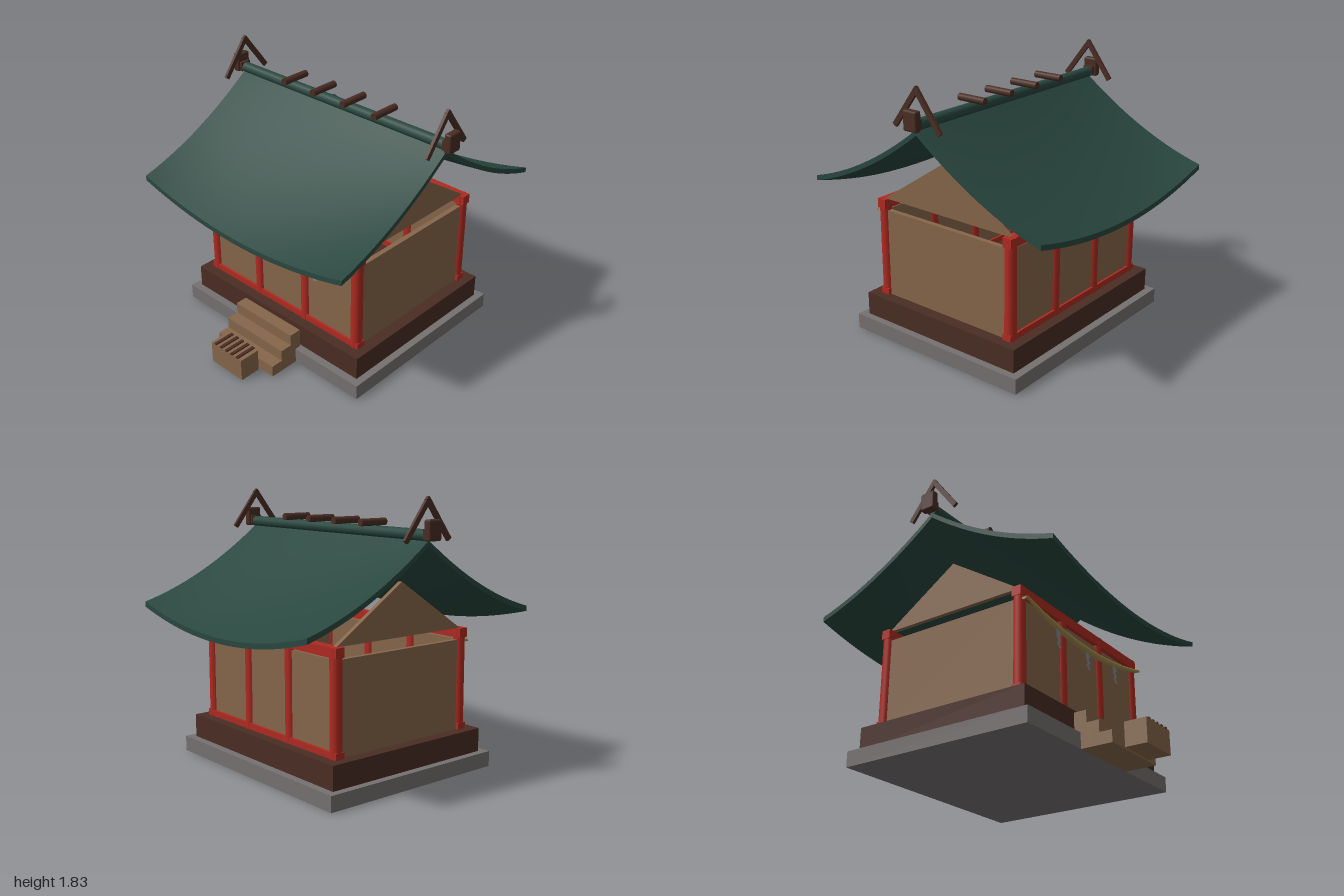
import * as THREE from 'three';
import { RoundedBoxGeometry } from 'three/addons/geometries/RoundedBoxGeometry.js';

const mat = (name, color) => {
  const m = new THREE.MeshStandardMaterial({ color });
  m.name = name;
  return m;
};

export function createModel() {
  const root = new THREE.Group();
  root.name = 'shrine';
  const stone = mat('stone', 0x767171);
  const darkWood = mat('dark wood', 0x4a2d24);
  const timber = mat('timber', 0x86664a);
  const red = mat('red lacquer', 0xaf2a21);
  const green = mat('green roof', 0x29473f);
  const straw = mat('straw rope', 0xa38d4c);
  const paper = mat('paper', 0x868b91);
  paper.side = THREE.DoubleSide;

  const add = (name, geometry, material, x = 0, y = 0, z = 0) => {
    const mesh = new THREE.Mesh(geometry, material);
    mesh.name = name;
    mesh.position.set(x, y, z);
    root.add(mesh);
    return mesh;
  };
  // Box given by its bottom and top height
  const box = (name, m, w, y0, y1, d, x, z) =>
    add(name, new THREE.BoxGeometry(w, y1 - y0, d), m, x, (y0 + y1) / 2, z);

  const MID = -0.07; // z of the ridge and of the building's centre
  const HALF = 0.53; // distance from MID to the front and back walls

  // Plinth and floor
  box('plinth', stone, 1.63, 0, 0.105, 1.38, 0, MID);
  box('floor', darkWood, 1.53, 0.105, 0.265, 1.27, 0, MID);

  // Posts, rails and panels, front and back
  for (const s of [1, -1]) {
    const z = MID + s * HALF;
    for (const x of [-0.665, -0.22, 0.22, 0.665])
      add('post', new THREE.CylinderGeometry(0.039, 0.039, 0.685, 16), red, x, 0.6075, z);
    box('bottomRail', red, 1.41, 0.265, 0.308, 0.066, 0, z);
    box('topRail', red, 1.41, 0.888, 0.952, 0.066, 0, z);
    for (const x of [-0.4425, 0, 0.4425])
      box('wallPanel', timber, 0.38, 0.265, 0.875, 0.035, x, z);
  }

  // Side walls and gables
  const gable = new THREE.Shape();
  gable.moveTo(-HALF, 0.95);
  gable.lineTo(HALF, 0.95);
  gable.lineTo(0, 1.3);
  for (const s of [1, -1]) {
    box('sideWall', timber, 0.035, 0.265, 0.875, 1.02, s * 0.665, MID);
    const g = add('gable', new THREE.ExtrudeGeometry(gable, { depth: 0.03, bevelEnabled: false }),
      timber, s * 0.655 - 0.015, 0, MID);
    g.rotation.y = Math.PI / 2;
  }

  // Curved roof slopes, sagging between upturned corners
  const W = 0.9, RUN = 0.93, THICK = 0.035;
  const slope = new THREE.BoxGeometry(2 * W, THICK, RUN, 24, 1, 16);
  const p = slope.attributes.position;
  for (let i = 0; i < p.count; i++) {
    const t = p.getZ(i) / RUN + 0.5, u = p.getX(i) / W;
    const top = 1.57 - 0.485 * t - 0.23 * t * (1 - t) - 0.125 * t * (1 - u * u);
    p.setY(i, top + p.getY(i) - THICK / 2);
    p.setZ(i, t * RUN);
  }
  slope.computeVertexNormals();
  add('frontRoof', slope, green, 0, 0, MID);
  add('backRoof', slope, green, 0, 0, MID).rotation.y = Math.PI;

  // Ridge pole with short logs across it
  add('ridge', new THREE.CylinderGeometry(0.036, 0.036, 1.79, 16), green, 0, 1.6, MID)
    .rotation.z = Math.PI / 2;
  for (const x of [-0.4, -0.135, 0.13, 0.395])
    add('ridgeLog', new THREE.CylinderGeometry(0.024, 0.024, 0.21, 14), darkWood, x, 1.656, MID - 0.005)
      .rotation.x = Math.PI / 2;

  // Ridge ends: crossed finials and end blocks
  for (const s of [1, -1]) {
    for (const d of [1, -1]) {
      const a = Math.atan2(0.18, 0.24);
      add('finial', new THREE.BoxGeometry(0.02, 0.32, 0.034), darkWood,
        s * 0.887, 1.695, MID + d * 0.087).rotation.x = -d * a;
    }
    add('ridgeEndBlock', new RoundedBoxGeometry(0.05, 0.13, 0.106, 2, 0.012), darkWood,
      s * 0.932, 1.633, MID);
    box('ridgeEndNeck', darkWood, 0.03, 1.575, 1.64, 0.075, s * 0.9, MID);
  }

  // Hanging rope, thick in the middle and thin at the ends
  const ropeY = x => 0.767 + 0.1 * (x / 0.69) ** 2;
  const pts = [];
  for (let i = 0; i <= 12; i++) {
    const x = -0.69 + 1.38 * i / 12;
    pts.push(new THREE.Vector3(x, ropeY(x), 0));
  }
  const rope = new THREE.TubeGeometry(new THREE.CatmullRomCurve3(pts), 40, 0.021, 10);
  const rp = rope.attributes.position;
  for (let i = 0; i < rp.count; i++) {
    const x = rp.getX(i), k = 1 - 0.55 * Math.min(1, (x / 0.69) ** 2);
    rp.setY(i, ropeY(x) + (rp.getY(i) - ropeY(x)) * k);
    rp.setZ(i, rp.getZ(i) * k);
  }
  rope.computeVertexNormals();
  add('rope', rope, straw, 0, 0, 0.527);
  for (const s of [1, -1])
    box('ropePeg', straw, 0.012, 0.858, 0.872, 0.04, s * 0.68, 0.507);

  // Zigzag paper streamers
  const spine = [[-0.012, 0], [0.022, -0.035], [-0.014, -0.045], [0.022, -0.08], [-0.01, -0.09], [0.02, -0.12]];
  const zigzag = new THREE.Shape();
  spine.forEach(([x, y], i) => (i ? zigzag.lineTo(x - 0.012, y) : zigzag.moveTo(x - 0.012, y)));
  [...spine].reverse().forEach(([x, y]) => zigzag.lineTo(x + 0.012, y + 0.008));
  for (const x of [-0.345, 0, 0.345])
    add('streamer', new THREE.ExtrudeGeometry(zigzag, { depth: 0.004, bevelEnabled: false }),
      paper, x, ropeY(x) - 0.015, 0.525);

  // Three steps
  for (let i = 0; i < 3; i++)
    box('step', timber, 0.53, 0, 0.24 - 0.08 * i, 0.086, 0, 0.62 + 0.086 * i);

  // Offering box with dark slats
  box('offeringBox', timber, 0.29, 0, 0.16, 0.15, 0, 0.925);
  for (let i = -2; i <= 2; i++)
    box('offeringSlat', darkWood, 0.022, 0.158, 0.169, 0.15, i * 0.052, 0.925);

  return root;
}
